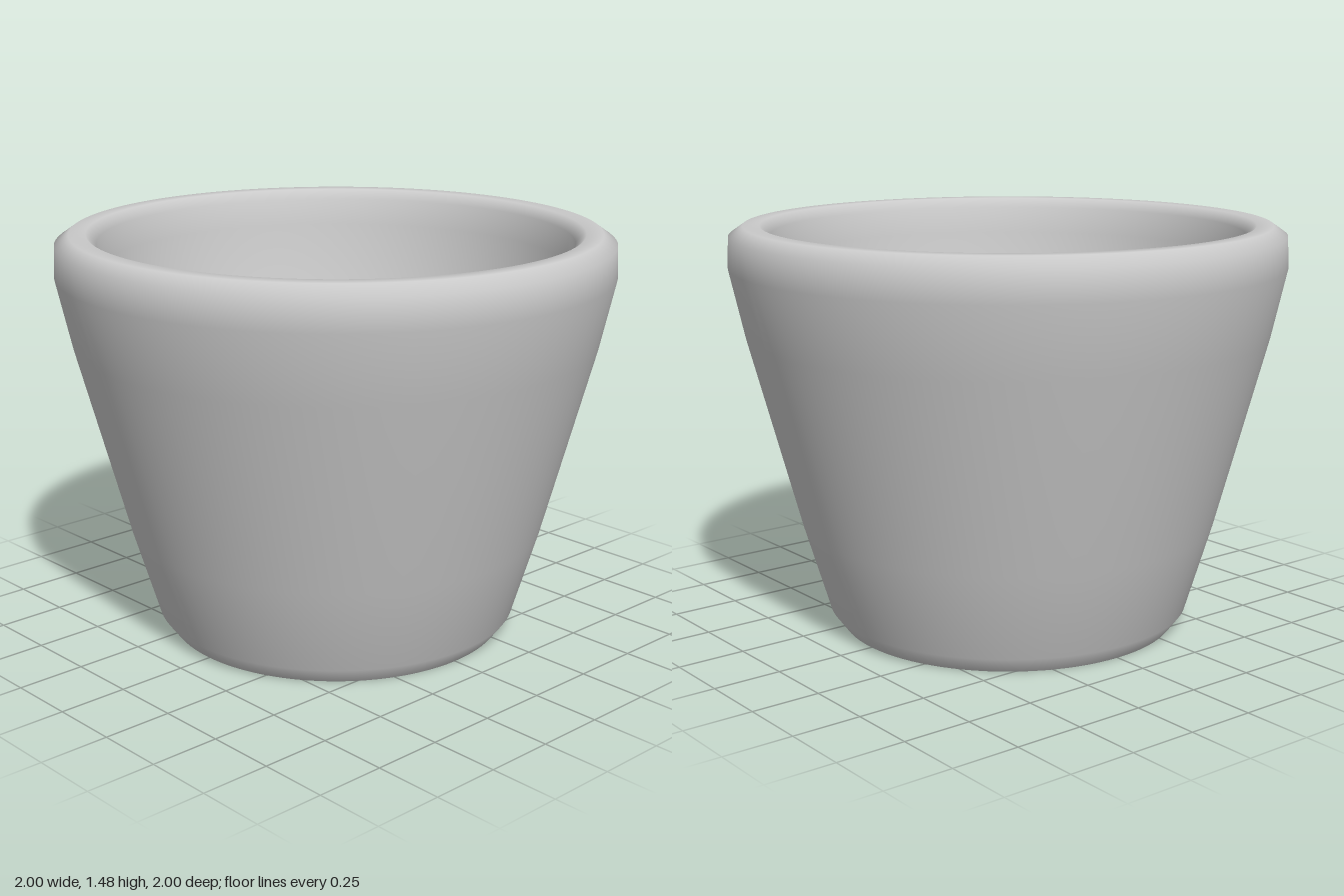
import * as THREE from 'three';

export function createModel() {
  const group = new THREE.Group();
  group.name = 'cup';
  const material = new THREE.MeshStandardMaterial({ color: 0xcccccc });
  const segments = 96;

  // Outer wall, rounded rim, inner wall and floor as one smooth profile
  const profile = [
    [0.62, 0], [0.665, 0.06], [0.76, 0.38], [0.945, 1.08],
    [1.0, 1.33], [0.995, 1.44], [0.945, 1.475],
    [0.885, 1.475], [0.848, 1.44], [0.84, 1.34],
    [0.79, 1.08], [0.615, 0.4], [0.52, 0.19], [0.46, 0.15], [0.42, 0.145], [0, 0.145],
  ].map(([r, y]) => new THREE.Vector2(r, y));
  const body = new THREE.Mesh(new THREE.LatheGeometry(profile, segments), material);
  body.name = 'body';

  // Flat underside with a crisp edge
  const base = new THREE.Mesh(new THREE.CircleGeometry(0.62, segments).rotateX(Math.PI / 2), material);
  base.name = 'base';

  group.add(body, base);
  return group;
}
